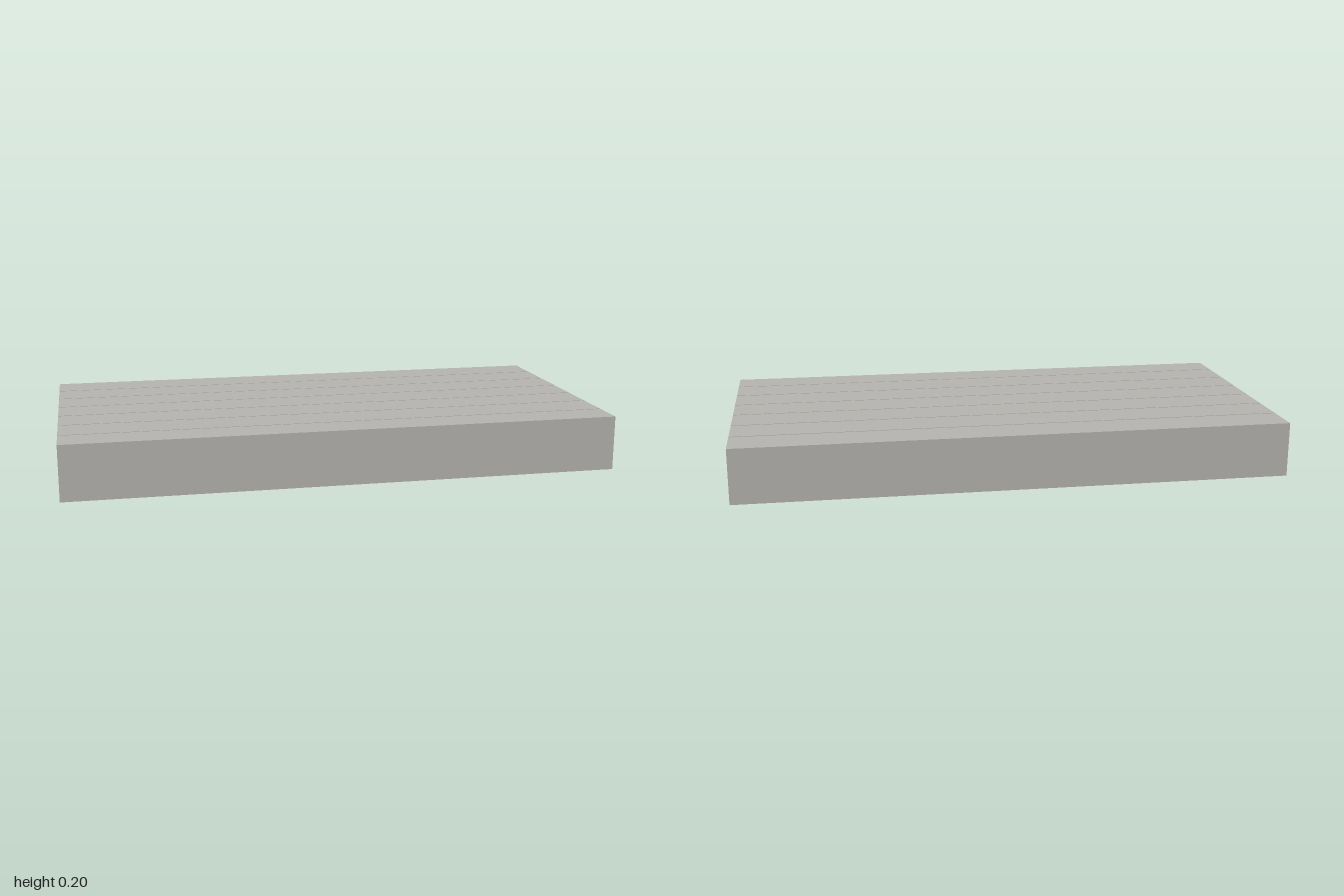
import * as THREE from 'three';

const LENGTH = 2, HALF = 0.5, TOP = 0.2, DECK = 0.17, THICK = 0.045;
const PLANK = 0.14, PITCH = 0.1457;

export function createModel() {
  const group = new THREE.Group();
  const wood = new THREE.MeshStandardMaterial({ color: 0xb5b3ae });
  wood.name = 'weathered grey wood';

  const add = (name, geometry, x = 0, y = 0, z = 0) => {
    const mesh = new THREE.Mesh(geometry, wood);
    mesh.name = name;
    mesh.position.set(x, y, z);
    group.add(mesh);
  };

  // Side rail joined with its outer deck plank: an L section swept along x
  const edgeBoard = (name, side, plankWidth) => {
    const section = [
      [HALF, 0], [HALF, TOP], [HALF - plankWidth, TOP],
      [HALF - plankWidth, DECK], [HALF - THICK, DECK], [HALF - THICK, 0],
    ].map(([z, y]) => new THREE.Vector2(z * side, y));
    const geometry = new THREE.ExtrudeGeometry(new THREE.Shape(section), { depth: LENGTH, bevelEnabled: false });
    geometry.translate(0, 0, -LENGTH / 2);
    geometry.rotateY(-Math.PI / 2);
    add(name, geometry);
  };
  edgeBoard('frontEdgeBoard', 1, 2 * HALF - 6 * PITCH);
  edgeBoard('backEdgeBoard', -1, PLANK);

  // Inner deck planks, laid from the back with narrow gaps
  for (let i = 1; i <= 5; i++) {
    add(`deckPlank${i}`, new THREE.BoxGeometry(LENGTH, TOP - DECK, PLANK),
      0, (TOP + DECK) / 2, -HALF + i * PITCH + PLANK / 2);
  }

  // Four evenly spaced cross joists between the rails
  const reach = (LENGTH - THICK) / 2;
  for (let i = 0; i < 4; i++) {
    add(`crossJoist${i + 1}`, new THREE.BoxGeometry(THICK, DECK, 2 * (HALF - THICK)),
      -reach + (i * 2 * reach) / 3, DECK / 2, 0);
  }

  return group;
}
